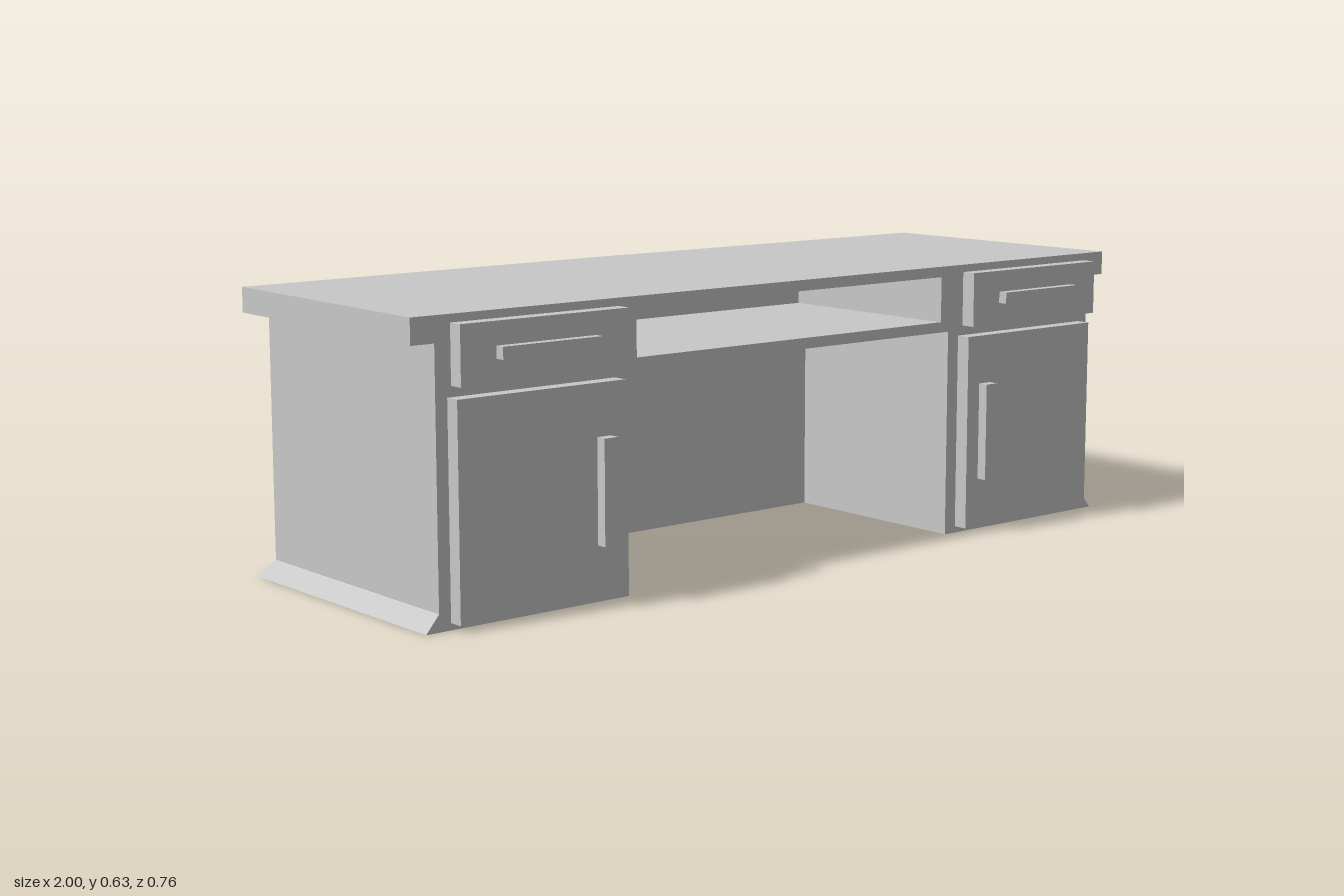
import * as THREE from 'three';

const grey = new THREE.MeshStandardMaterial({ color: 0xc8c8c8 });
grey.name = 'plain grey';

const FRONT = 0.308, HOLLOW_BACK = -0.18, BACK = -0.322, UNDER_TOP = 0.575, RECESS_TOP = 0.606;

function part(group, name, geometry) {
  const mesh = new THREE.Mesh(geometry, grey);
  mesh.name = name;
  group.add(mesh);
  return mesh;
}

// Box given by its extents on each axis
function block(group, name, [x0, x1], [y0, y1], [z0, z1]) {
  const mesh = part(group, name, new THREE.BoxGeometry(Math.abs(x1 - x0), y1 - y0, z1 - z0));
  mesh.position.set((x0 + x1) / 2, (y0 + y1) / 2, (z0 + z1) / 2);
}

function extrude(points, depth) {
  const shape = new THREE.Shape(points.map(([x, y]) => new THREE.Vector2(x, y)));
  return new THREE.ExtrudeGeometry(shape, { depth, bevelEnabled: false });
}

// Horizontal slab from an outline of [x, z] points
function slab(outline, y0, y1) {
  return extrude(outline.map(([x, z]) => [x, -z]), y1 - y0)
    .rotateX(-Math.PI / 2).translate(0, y0, 0);
}

// Sloping skirt: a triangular section swept round the sides and back
function skirtGeometry() {
  const h = 0.037, out = 0.031;
  const stations = [[-0.945, FRONT, -1, 0], [-0.945, BACK, -1, -1], [0.945, BACK, 1, -1], [0.945, FRONT, 1, 0]];
  const sections = stations.map(([x, z, dx, dz]) => [
    [x, 0, z], [x + dx * out, 0, z + dz * out], [x, h, z]]);
  const pos = [];
  const tri = (a, b, c) => pos.push(...a, ...b, ...c);
  for (let i = 0; i < 3; i++) {
    const a = sections[i], b = sections[i + 1];
    for (let j = 0; j < 2; j++) {
      tri(a[j], b[j + 1], b[j]);
      tri(a[j], a[j + 1], b[j + 1]);
    }
  }
  // Front ends
  const [inner, outer, top] = sections[0];
  tri(inner, top, outer);
  tri(...sections[3]);
  const geometry = new THREE.BufferGeometry();
  geometry.setAttribute('position', new THREE.Float32BufferAttribute(pos, 3));
  geometry.computeVertexNormals();
  return geometry;
}

export function createModel() {
  const desk = new THREE.Group();
  desk.name = 'desk';

  // Two pedestals joined by a rail, with the knee space and shelf recess cut out
  const carcass = [
    [-0.945, 0], [-0.47, 0], [-0.47, 0.478], [0.47, 0.478], [0.47, 0], [0.945, 0],
    [0.945, UNDER_TOP], [0.446, UNDER_TOP], [0.446, 0.502],
    [-0.446, 0.502], [-0.446, UNDER_TOP], [-0.945, UNDER_TOP]];
  part(desk, 'carcass', extrude(carcass, FRONT - HOLLOW_BACK).translate(0, 0, HOLLOW_BACK));
  block(desk, 'backSection', [-0.945, 0.945], [0, UNDER_TOP], [BACK, HOLLOW_BACK]);
  part(desk, 'skirt', skirtGeometry());

  // Worktop with tapered ends and a back edge that peaks slightly at the middle
  const outline = [[-1, FRONT], [-0.985, -0.362], [0, -0.378], [0.985, -0.362], [1, FRONT]];
  part(desk, 'worktop', slab(outline, RECESS_TOP, 0.63));
  // Lower layer is notched to form the top of the shelf recess
  const notch = [[0.446, FRONT], [0.446, HOLLOW_BACK], [-0.446, HOLLOW_BACK], [-0.446, FRONT]];
  part(desk, 'worktopUnderlayer', slab([...outline, ...notch], UNDER_TOP, RECESS_TOP));

  // Door and drawer on each pedestal
  for (const s of [-1, 1]) {
    const side = s > 0 ? 'left' : 'right';
    const span = (a, b) => [s * a, s * b];
    block(desk, side + 'Door', span(0.503, 0.917), [0.015, 0.466], [FRONT, 0.342]);
    block(desk, side + 'DoorHandle', span(0.541, 0.576), [0.129, 0.354], [0.342, 0.366]);
    block(desk, side + 'DrawerNeck', span(0.517, 0.903), [0.505, 0.601], [FRONT, 0.322]);
    block(desk, side + 'Drawer', span(0.503, 0.917), [0.491, 0.615], [0.322, 0.356]);
    block(desk, side + 'DrawerHandle', span(0.588, 0.832), [0.54, 0.566], [0.356, 0.378]);
  }
  return desk;
}
